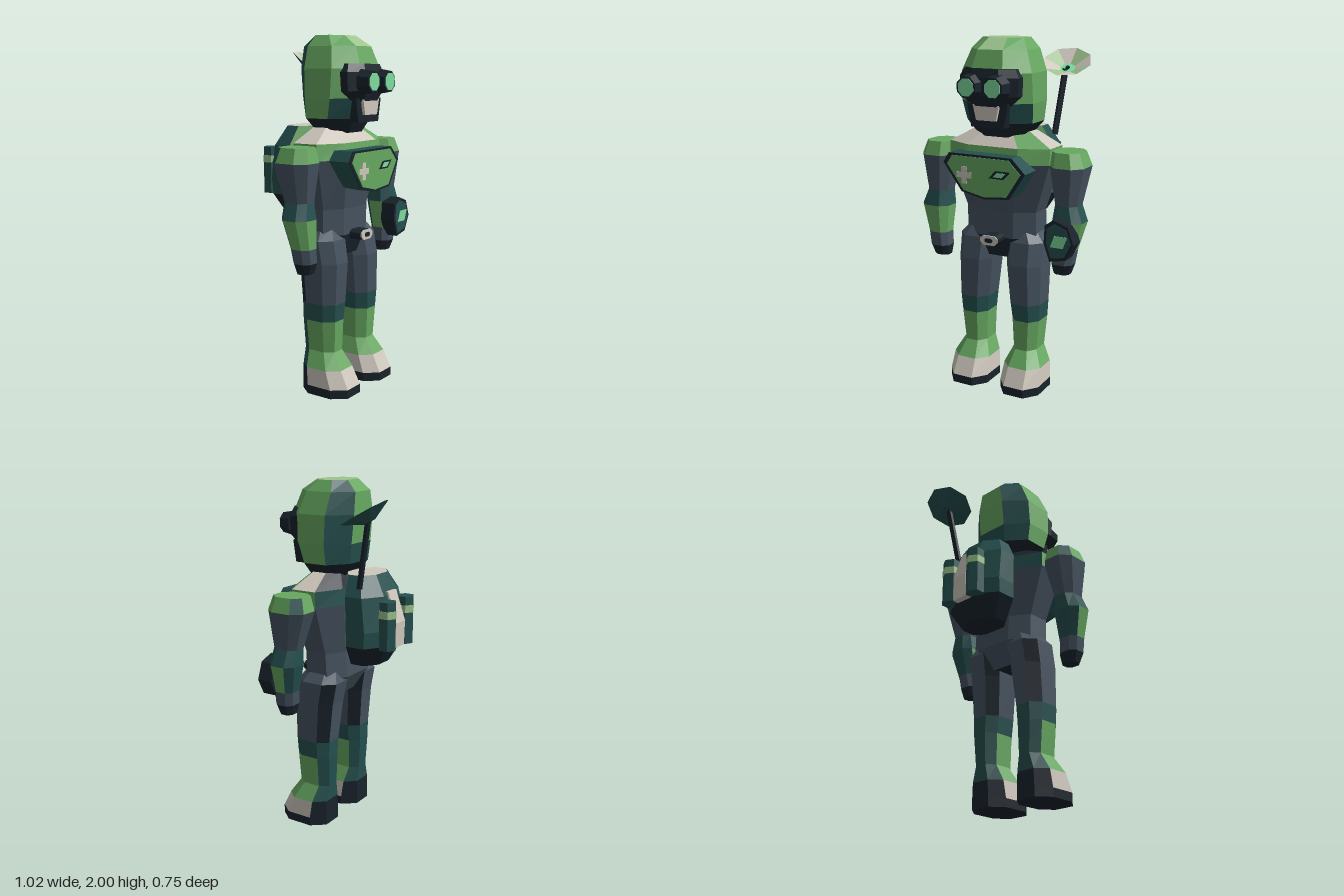
import * as THREE from 'three';

const paint = (name, hex) => {
  const m = new THREE.MeshStandardMaterial({ color: hex });
  m.name = name;
  return m;
};
const GREEN = paint('leafGreen', 0x67a861), TEAL = paint('deepTeal', 0x25504f), INK = paint('ink', 0x19232c);
const SLATE = paint('slate', 0x45525f), PALE = paint('paleGrey', 0xcfc8be), MINT = paint('mint', 0x7fdc9f);
const LIGHT = paint('lightGreen', 0x9dc48f);

// Collects flat faces by material into one mesh
function facetMesh(name, faces) {
  const mats = [...new Set(faces.map(f => f.mat))];
  const pos = [], geo = new THREE.BufferGeometry();
  mats.forEach((mat, i) => {
    const start = pos.length / 3;
    for (const f of faces) if (f.mat === mat)
      for (let k = 1; k < f.pts.length - 1; k++) pos.push(...f.pts[0], ...f.pts[k], ...f.pts[k + 1]);
    geo.addGroup(start, pos.length / 3 - start, i);
  });
  geo.setAttribute('position', new THREE.Float32BufferAttribute(pos, 3));
  geo.computeVertexNormals();
  const mesh = new THREE.Mesh(geo, mats);
  mesh.name = name;
  return mesh;
}

// Ring: [y, centre x, half width, front z, back z], as a chamfered rectangle
function ringPoints([y, cx, w, zf, zb], cut) {
  const f = w * cut, mid = (zf + zb) / 2, g = (zf - zb) / 2 * cut;
  return [[-f, zf], [f, zf], [w, mid + g], [w, mid - g], [f, zb], [-f, zb], [-w, mid - g], [-w, mid + g]]
    .map(([x, z]) => [cx + x, y, z]);
}

// Rings run bottom to top. Faces: 0 front, 2 left, 4 back, 6 right, odd ones are chamfers
function loft(name, rings, bands, bottom, top, cut = 0.5) {
  const r = rings.map(q => ringPoints(q, cut)), faces = [];
  bands.forEach((band, i) => {
    for (let k = 0; k < 8; k++) {
      const n = (k + 1) % 8;
      faces.push({ mat: typeof band === 'function' ? band(k) : band, pts: [r[i][k], r[i][n], r[i + 1][n], r[i + 1][k]] });
    }
  });
  faces.push({ mat: bottom, pts: [...r[0]].reverse() }, { mat: top, pts: r[r.length - 1] });
  return facetMesh(name, faces);
}

// Colour rules for bands
const rear = (main, back) => k => (k >= 3 && k <= 5 ? back : main);
const rearCut = (main, back) => k => (k === 3 || k === 5 ? back : main);

// Polygon in x, y pulled forward from z
function plate(name, mat, pts, z, depth) {
  const shape = new THREE.Shape(pts.map(p => new THREE.Vector2(...p)));
  const mesh = new THREE.Mesh(new THREE.ExtrudeGeometry(shape, { depth, bevelEnabled: false }), mat);
  mesh.position.z = z;
  mesh.name = name;
  return mesh;
}
const inset = (pts, cx, cy, s) => pts.map(([x, y]) => [cx + (x - cx) * s, cy + (y - cy) * s]);

function prism(name, mat, rTop, rBottom, h, [x, y, z], sides = 8) {
  const geo = new THREE.CylinderGeometry(rTop, rBottom, h, sides).toNonIndexed();
  geo.computeVertexNormals();
  const mesh = new THREE.Mesh(geo, mat);
  mesh.position.set(x, y, z);
  mesh.name = name;
  return mesh;
}

function makeHead() {
  const g = new THREE.Group();
  g.name = 'head';
  const shell = rearCut(GREEN, TEAL);
  g.add(loft('helmet', [
    [1.47, 0, 0.14, 0.2, -0.02], [1.55, 0, 0.205, 0.24, -0.078], [1.66, 0, 0.22, 0.28, -0.09],
    [1.82, 0, 0.215, 0.295, -0.105], [1.94, 0, 0.17, 0.25, -0.1], [2, 0, 0.125, 0.16, -0.037]],
  [INK, k => (k % 2 || k === 4 ? TEAL : GREEN), shell, shell, k => (k === 0 ? LIGHT : shell(k))], INK, LIGHT, 0.45));
  // Visor, jaw and mouth grille
  g.add(loft('visor', [[1.64, 0, 0.12, 0.3, 0.1], [1.7, 0, 0.175, 0.32, 0.1], [1.8, 0, 0.18, 0.32, 0.1],
    [1.845, 0, 0.155, 0.305, 0.1]], [INK, INK, INK], INK, INK));
  g.add(plate('jaw', INK, [[-0.1, 1.53], [0.1, 1.53], [0.125, 1.66], [-0.125, 1.66]], 0.15, 0.135));
  g.add(plate('mouth', PALE, [[-0.06, 1.57], [0.06, 1.57], [0.08, 1.655], [-0.08, 1.655]], 0.25, 0.052));
  for (const s of [-1, 1]) {
    const rim = prism('lensRim', INK, 0.06, 0.073, 0.07, [s * 0.08, 1.75, 0.335]);
    const lens = prism('lens', MINT, 0.05, 0.05, 0.006, [s * 0.08, 1.75, 0.371]);
    for (const m of [rim, lens]) m.rotation.set(Math.PI / 2, Math.PI / 8, 0);
    g.add(rim, lens);
  }
  return g;
}

function makeTorso() {
  const g = new THREE.Group();
  g.name = 'torso';
  g.add(loft('body', [
    [0.78, 0, 0.13, 0.17, 0], [0.9, 0, 0.22, 0.2, -0.07], [1.05, 0, 0.22, 0.2, -0.06],
    [1.33, 0, 0.315, 0.25, -0.08], [1.42, 0, 0.315, 0.235, -0.07], [1.5, 0, 0.17, 0.16, -0.01]],
  [rear(INK, SLATE), SLATE, SLATE, rear(GREEN, TEAL),
    k => (k === 1 ? GREEN : k >= 3 && k <= 5 ? INK : PALE)], INK, INK));
  // Chest panel with badge and readout
  const panel = [[-0.255, 1.33], [-0.22, 1.385], [0.17, 1.385], [0.25, 1.305], [0.155, 1.16], [0, 1.145], [-0.14, 1.175]].reverse();
  g.add(plate('chestPanel', TEAL, panel, 0.2, 0.126));
  g.add(plate('chestPanelRim', INK, panel, 0.326, 0.004));
  g.add(plate('chestPanelFace', GREEN, inset(panel, 0, 1.27, 0.9), 0.33, 0.004));
  for (const [w, h] of [[0.096, 0.032], [0.032, 0.096]]) {
    const bar = new THREE.Mesh(new THREE.BoxGeometry(w, h, 0.005), PALE);
    bar.position.set(-0.12, 1.27, 0.335);
    bar.name = 'badgeBar';
    g.add(bar);
  }
  const slot = [[0.035, 1.267], [0.125, 1.267], [0.165, 1.31], [0.075, 1.31]];
  g.add(plate('readoutRim', INK, slot, 0.334, 0.003));
  g.add(plate('readout', MINT, inset(slot, 0.1, 1.2885, 0.6), 0.337, 0.002));
  // Belt buckle
  const buckle = [[-0.035, 0.87], [0.035, 0.87], [0.055, 0.89], [0.055, 0.91], [0.035, 0.925], [-0.035, 0.925], [-0.055, 0.91], [-0.055, 0.89]];
  g.add(plate('buckleBlock', INK, buckle, 0.17, 0.105));
  g.add(plate('buckle', PALE, buckle, 0.275, 0.008));
  g.add(plate('buckleSlot', INK, inset(buckle, 0, 0.898, 0.45), 0.283, 0.003));
  return g;
}

function makeArm(s) {
  const x = s * 0.41;
  return loft(s > 0 ? 'leftArm' : 'rightArm', [
    [0.73, s * 0.39, 0.045, 0.18, 0.1], [0.79, s * 0.395, 0.06, 0.2, 0.085], [0.87, s * 0.405, 0.062, 0.2, 0.075],
    [1.03, s * 0.422, 0.088, 0.205, 0.04], [1.12, x, 0.065, 0.19, 0.04],
    [1.33, x, 0.1, 0.212, -0.025], [1.41, s * 0.4, 0.08, 0.19, 0]],
  [INK, SLATE, rear(GREEN, TEAL), TEAL, SLATE, rearCut(GREEN, TEAL)], INK, GREEN);
}

function makeLeg(s) {
  return loft(s > 0 ? 'leftLeg' : 'rightLeg', [
    [0, s * 0.168, 0.123, 0.31, 0], [0.05, s * 0.168, 0.123, 0.31, 0], [0.15, s * 0.168, 0.115, 0.26, 0],
    [0.24, s * 0.163, 0.073, 0.2, -0.003], [0.42, s * 0.168, 0.086, 0.208, -0.01], [0.52, s * 0.165, 0.095, 0.215, -0.012],
    [0.75, s * 0.155, 0.108, 0.22, -0.035], [0.88, s * 0.15, 0.115, 0.195, -0.06], [0.94, s * 0.13, 0.08, 0.16, -0.03]],
  [INK, rear(PALE, INK), rear(GREEN, TEAL), rear(GREEN, TEAL), TEAL,
    rearCut(SLATE, INK), rearCut(SLATE, INK), SLATE], INK, SLATE);
}

function makeWristDevice() {
  const g = new THREE.Group();
  g.name = 'wristDevice';
  const rim = [[0.335, 1.025], [0.385, 1.06], [0.47, 1.03], [0.505, 0.935], [0.46, 0.845], [0.365, 0.825], [0.33, 0.925]].reverse();
  g.add(plate('deviceCase', INK, rim, 0.17, 0.09));
  g.add(plate('deviceFace', TEAL, inset(rim, 0.415, 0.94, 0.83), 0.26, 0.003));
  g.add(plate('deviceScreen', MINT, [[0.37, 0.91], [0.445, 0.91], [0.47, 0.975], [0.395, 0.975]], 0.263, 0.003));
  return g;
}

function makeBackpack() {
  const g = new THREE.Group();
  g.name = 'backpack';
  const side = k => (k === 1 || k === 7 ? GREEN : TEAL);
  g.add(loft('pack', [
    [0.99, 0, 0.13, -0.05, -0.245], [1.11, 0, 0.2, -0.04, -0.31], [1.2, 0, 0.205, -0.04, -0.32],
    [1.39, 0, 0.2, -0.04, -0.29], [1.5, 0, 0.14, -0.04, -0.225]],
  [INK, side, side, side], INK, PALE, 0.42));
  // Sloped rear panel between two canisters
  g.add(loft('rearPanel', [[1.1, 0, 0.055, -0.2, -0.345], [1.24, 0, 0.053, -0.2, -0.35], [1.41, 0, 0.045, -0.2, -0.295]],
    [PALE, PALE], PALE, PALE, 0.92));
  for (const s of [-1, 1]) {
    g.add(prism('canister', TEAL, 0.052, 0.052, 0.27, [s * 0.097, 1.235, -0.322], 6));
    g.add(prism('canisterBand', LIGHT, 0.055, 0.055, 0.042, [s * 0.097, 1.3, -0.322], 6));
  }
  return g;
}

function makeAntenna() {
  const g = new THREE.Group();
  g.name = 'antenna';
  // Mast between two points
  const a = new THREE.Vector3(0.175, 1.44, -0.19), b = new THREE.Vector3(0.205, 1.81, -0.26);
  const mast = prism('mast', INK, 0.018, 0.018, a.distanceTo(b), [0, 0, 0], 6);
  mast.position.copy(a).add(b).multiplyScalar(0.5);
  mast.quaternion.setFromUnitVectors(new THREE.Vector3(0, 1, 0), b.clone().sub(a).normalize());
  // Dish with alternating petals and a teal back
  const ring = (r, y) => Array.from({ length: 8 }, (_, k) => {
    const t = k * Math.PI / 4;
    return [r * Math.sin(t), y, r * Math.cos(t)];
  });
  const inner = ring(0.045, -0.045), outer = ring(0.143, 0), base = ring(0.035, -0.055);
  const faces = [{ mat: MINT, pts: inner }, { mat: TEAL, pts: [...base].reverse() }];
  for (let k = 0; k < 8; k++) {
    const n = (k + 1) % 8;
    faces.push({ mat: k % 2 ? LIGHT : PALE, pts: [outer[k], outer[n], inner[n], inner[k]] });
    faces.push({ mat: TEAL, pts: [base[k], base[n], outer[n], outer[k]] });
  }
  const dish = new THREE.Group();
  dish.name = 'dish';
  dish.add(facetMesh('dishBowl', faces), prism('dishTip', INK, 0.012, 0.012, 0.01, [0, -0.041, 0], 6));
  dish.position.set(0.22, 1.853, -0.247);
  dish.quaternion.setFromUnitVectors(new THREE.Vector3(0, 1, 0), new THREE.Vector3(0.12, 0.86, 0.48).normalize());
  g.add(mast, dish);
  return g;
}

export function createModel() {
  const model = new THREE.Group();
  model.name = 'suitedFigure';
  model.add(makeHead(), makeTorso(), makeWristDevice(), makeBackpack(), makeAntenna());
  for (const s of [-1, 1]) model.add(makeArm(s), makeLeg(s));
  return model;
}
